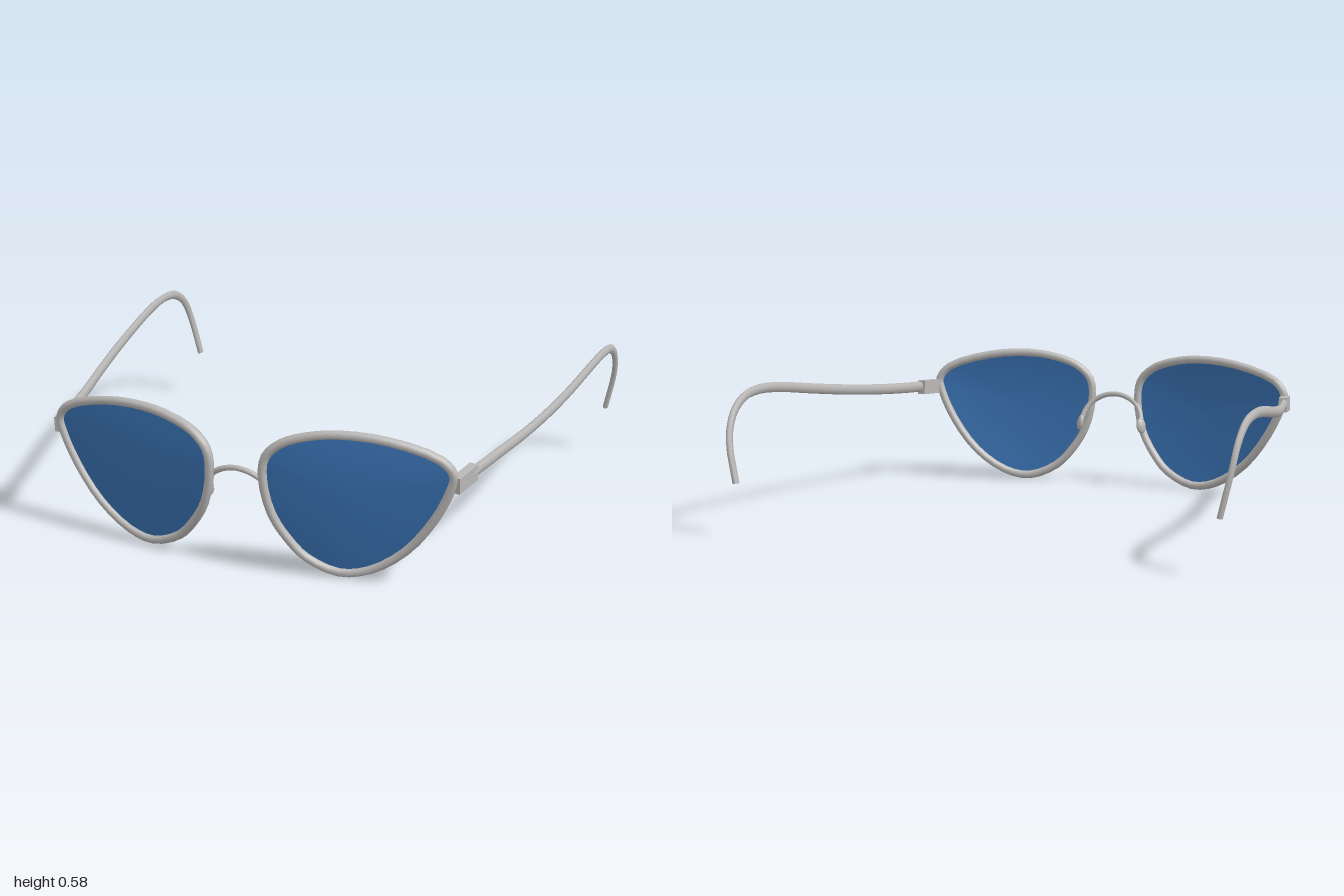
import * as THREE from 'three';

const metal = new THREE.MeshStandardMaterial({ color: 0xbab8b6 });
metal.name = 'silver metal';
const glass = new THREE.MeshStandardMaterial({ color: 0x3870b0, side: THREE.DoubleSide });
glass.name = 'blue lens';

const V = (x, y, z) => new THREE.Vector3(x, y, z);

// Rim centre line of the left lens, seen from the front
const outline = [
  [0.105, 0.38], [0.117, 0.458], [0.175, 0.515], [0.27, 0.55], [0.385, 0.566],
  [0.56, 0.554], [0.74, 0.498], [0.784, 0.445], [0.774, 0.39], [0.715, 0.265],
  [0.613, 0.132], [0.485, 0.045], [0.375, 0.025], [0.258, 0.073], [0.193, 0.14], [0.133, 0.24],
];

// Each lens wraps back towards the temple and leans forward at the top
const lensZ = (x, y) => 0.816 - 0.18 * (x - 0.1) + 0.055 * (y - 0.36);

function rimCurve(side) {
  const pts = outline.map(([x, y]) => V(side * x, y, lensZ(x, y)));
  return new THREE.CatmullRomCurve3(pts, true);
}

// Sweeps an elliptical section along a curve; a(t) is the half size along hint, b(t) across it
function sweep(curve, steps, sides, hint, a, b) {
  const pos = [], idx = [];
  const closed = curve.closed;
  for (let j = 0; j <= steps; j++) {
    const t = j / steps;
    const p = curve.getPoint(t), tan = curve.getTangent(t);
    const u = hint.clone().addScaledVector(tan, -hint.dot(tan)).normalize();
    const w = tan.clone().cross(u);
    for (let i = 0; i < sides; i++) {
      const k = (i / sides) * Math.PI * 2;
      const q = p.clone().addScaledVector(u, a(t) * Math.cos(k)).addScaledVector(w, b(t) * Math.sin(k));
      pos.push(q.x, q.y, q.z);
    }
  }
  const rows = closed ? steps : steps + 1;
  for (let j = 0; j < steps; j++) {
    for (let i = 0; i < sides; i++) {
      const n = (i + 1) % sides, r0 = j * sides, r1 = ((j + 1) % rows) * sides;
      idx.push(r0 + i, r0 + n, r1 + i, r0 + n, r1 + n, r1 + i);
    }
  }
  if (!closed) {
    // end caps with their own corners, so their edges stay sharp
    for (const row of [0, steps]) {
      const base = pos.length / 3;
      for (let i = 0; i < sides * 3; i++) pos.push(pos[row * sides * 3 + i]);
      for (let i = 1; i < sides - 1; i++) {
        if (row) idx.push(base, base + i, base + i + 1);
        else idx.push(base, base + i + 1, base + i);
      }
    }
  }
  const g = new THREE.BufferGeometry();
  g.setAttribute('position', new THREE.Float32BufferAttribute(pos, 3));
  g.setIndex(idx);
  g.computeVertexNormals();
  return g;
}

// Gently domed lens made of rings shrinking to the middle
function lensGeometry(side) {
  const n = 48, rings = 6, pos = [], idx = [];
  const edge = rimCurve(side).getPoints(n).slice(0, n);
  const cx = side * 0.42, cy = 0.34;
  for (let r = 0; r <= rings; r++) {
    const k = 1 - r / rings;
    for (const p of edge) {
      const x = cx + (p.x - cx) * k, y = cy + (p.y - cy) * k;
      pos.push(x, y, lensZ(Math.abs(x), y) + 0.022 * (1 - k * k));
    }
  }
  for (let r = 0; r < rings; r++) {
    for (let i = 0; i < n; i++) {
      const a = r * n + i, b = r * n + (i + 1) % n, c = a + n, d = b + n;
      // the outline runs clockwise on the left and anticlockwise on the right
      const tris = side > 0 ? [a, c, b] : [a, b, c];
      idx.push(...tris);
      if (r < rings - 1) idx.push(...(side > 0 ? [b, c, d] : [b, d, c]));
    }
  }
  const g = new THREE.BufferGeometry();
  g.setAttribute('position', new THREE.Float32BufferAttribute(pos, 3));
  g.setIndex(idx);
  g.computeVertexNormals();
  return g;
}

export function createModel() {
  const model = new THREE.Group();
  model.name = 'sunglasses';
  const add = (name, geometry, material) => {
    const mesh = new THREE.Mesh(geometry, material);
    mesh.name = name;
    model.add(mesh);
    return mesh;
  };

  const temple = [
    [0.812, 0.418, 0.6], [0.85, 0.43, 0.4], [0.893, 0.447, 0.2], [0.929, 0.47, 0],
    [0.956, 0.497, -0.2], [0.976, 0.525, -0.4], [0.986, 0.535, -0.55], [0.988, 0.518, -0.67],
    [0.986, 0.463, -0.755], [0.977, 0.37, -0.803], [0.943, 0.21, -0.82],
  ];

  for (const side of [1, -1]) {
    const label = side > 0 ? 'left' : 'right';

    // Lens and rim
    add(label + 'Lens', lensGeometry(side), glass);
    add(label + 'Rim', sweep(rimCurve(side), 48, 8, V(0, 0, 1), () => 0.02, () => 0.017), metal);

    // Hinge block behind the outer corner
    const hinge = add(label + 'Hinge', new THREE.BoxGeometry(0.034, 0.06, 0.14), metal);
    hinge.position.set(side * 0.803, 0.413, 0.632);
    hinge.rotation.set(0.06, -side * 0.15, 0);

    // Temple arm, bent down behind the ear
    const path = new THREE.CatmullRomCurve3(temple.map(([x, y, z]) => V(side * x, y, z)));
    add(label + 'Temple', sweep(path, 30, 8, V(1, 0, 0),
      (t) => 0.014 - 0.003 * t, (t) => 0.023 - 0.006 * t), metal);

    // Nose pad
    const pad = add(label + 'NosePad', new THREE.SphereGeometry(1, 12, 8), metal);
    pad.scale.set(0.013, 0.034, 0.024);
    pad.position.set(side * 0.14, 0.27, 0.757);
    pad.rotation.set(0, side * 0.6, side * 0.2);
  }

  // Bridge wire that curls behind the rims to carry the nose pads
  const half = [[0.05, 0.387, 0.81], [0.095, 0.362, 0.803], [0.125, 0.325, 0.785], [0.138, 0.275, 0.76]];
  const wire = [
    ...half.map(([x, y, z]) => V(-x, y, z)).reverse(),
    V(0, 0.396, 0.812),
    ...half.map(([x, y, z]) => V(x, y, z)),
  ];
  add('bridge', sweep(new THREE.CatmullRomCurve3(wire), 28, 8, V(0, 0, 1), () => 0.011, () => 0.011), metal);

  return model;
}
